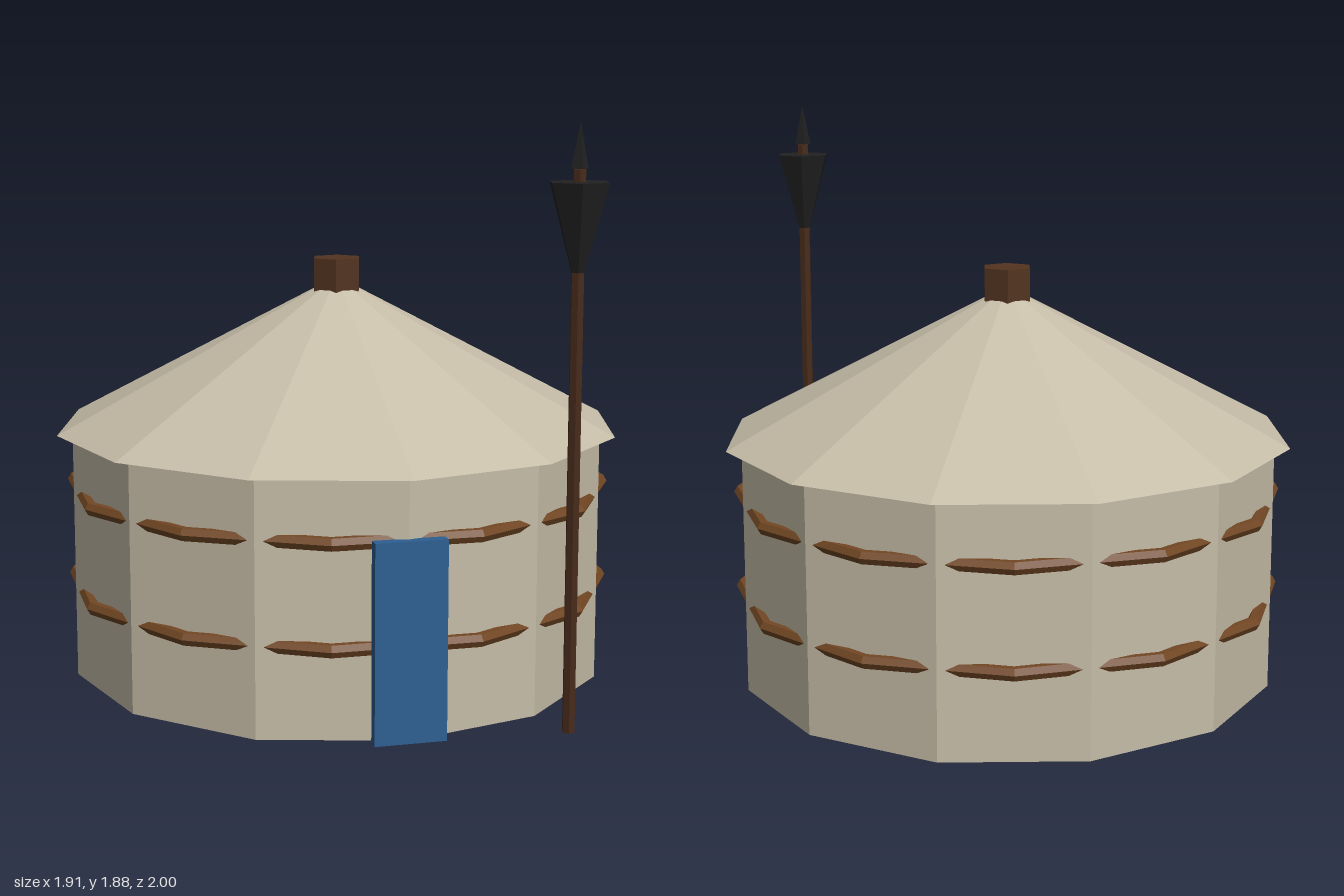
import * as THREE from 'three';

const mat = (name, color) => {
  const m = new THREE.MeshStandardMaterial({ color, flatShading: true });
  m.name = name;
  return m;
};

export function createModel() {
  const model = new THREE.Group();
  model.name = 'roundHut';

  const felt = mat('feltCream', 0xc6bda8);
  const darkWood = mat('darkWood', 0x52331f);
  const poleWood = mat('poleWood', 0x472a1a);
  const rope = mat('ropeBrown', 0x734824);
  const blue = mat('doorBlue', 0x2d5f91);
  const black = mat('blackHair', 0x212121);

  const add = (parent, name, geometry, material, x, y, z) => {
    const mesh = new THREE.Mesh(geometry, material);
    mesh.name = name;
    mesh.position.set(x, y, z);
    parent.add(mesh);
    return mesh;
  };

  // Hut: twelve-sided wall and roof
  const hut = new THREE.Group();
  hut.name = 'hut';
  hut.position.z = -0.043;
  model.add(hut);
  const eave = 0.826;
  add(hut, 'wall', new THREE.CylinderGeometry(0.905, 0.905, eave, 12), felt, 0, eave / 2, 0);
  add(hut, 'roof', new THREE.ConeGeometry(0.957, 0.507, 12), felt, 0, eave + 0.2535, 0);
  add(hut, 'smokeVent', new THREE.CylinderGeometry(0.087, 0.087, 0.12, 6, 1, false, Math.PI / 4), darkWood, 0, 1.337, 0);

  // Rope rings: their corners stand out at the middle of each wall panel and sink in at the wall corners
  for (const y of [0.295, 0.627]) {
    const ring = new THREE.TorusGeometry(0.907, 0.023, 6, 12);
    ring.rotateX(Math.PI / 2).rotateY(Math.PI / 12);
    add(hut, 'ropeRing', ring, rope, 0, y, 0);
  }

  // Door
  add(model, 'door', new THREE.BoxGeometry(0.23, 0.635, 0.04), blue, 0, 0.3175, 0.872);

  // Standard beside the door
  const standard = new THREE.Group();
  standard.name = 'standard';
  standard.position.set(0.505, 0, 0.904);
  model.add(standard);
  add(standard, 'pole', new THREE.CylinderGeometry(0.021, 0.021, 1.74, 6, 1, false, Math.PI / 4), poleWood, 0, 0.87, 0);
  add(standard, 'tassel', new THREE.CylinderGeometry(0.098, 0.021, 0.27, 6, 1, false, Math.PI / 4), black, 0, 1.568, 0);
  add(standard, 'spearTip', new THREE.ConeGeometry(0.028, 0.14, 4), black, 0, 1.812, 0);

  return model;
}
